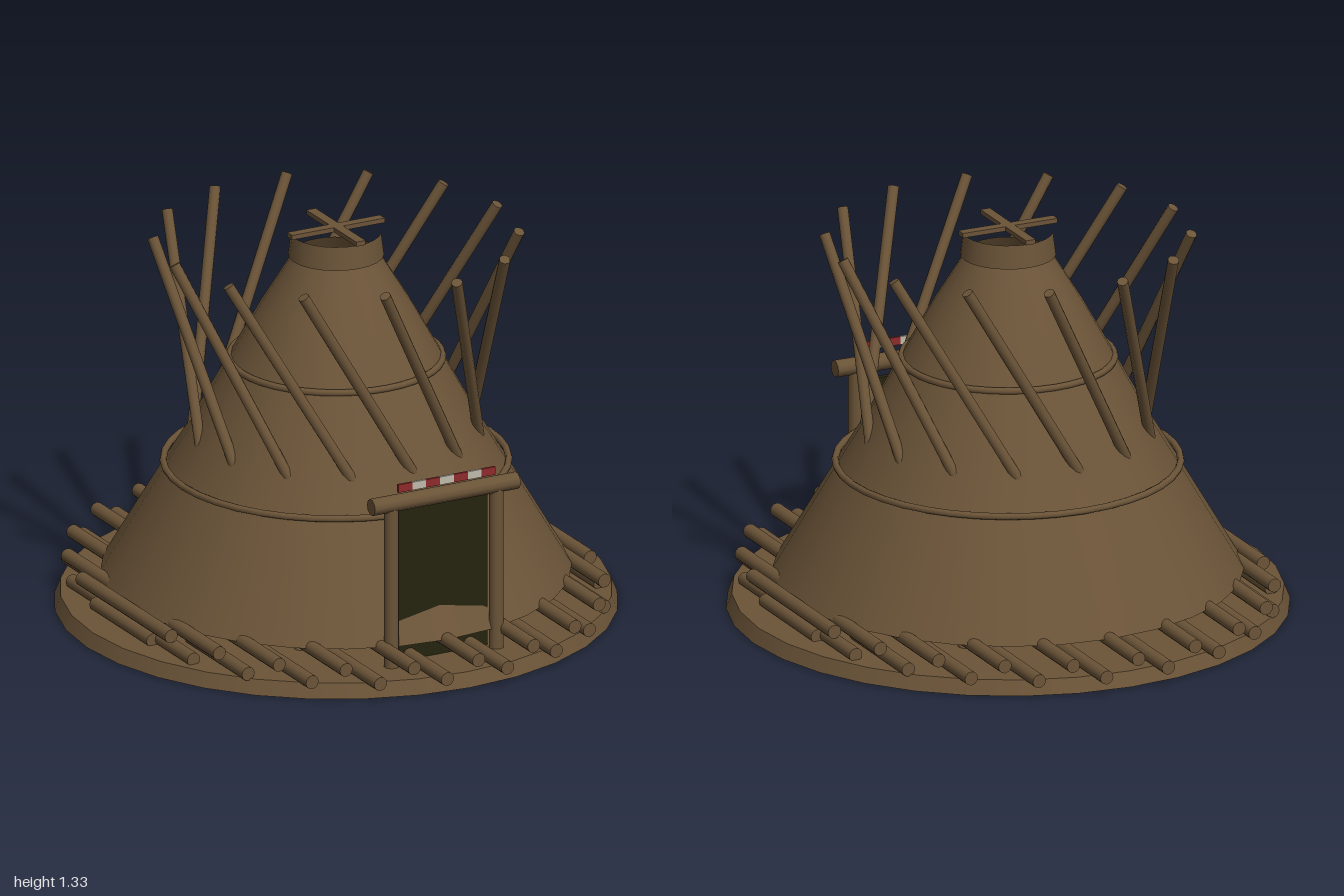
import * as THREE from 'three';

export function createModel() {
  const model = new THREE.Group();
  model.name = 'poleHut';

  const mat = (name, color, side = THREE.FrontSide) =>
    Object.assign(new THREE.MeshStandardMaterial({ color, side }), { name });
  const wood = mat('brownWood', 0x6b5438, THREE.DoubleSide);
  const collarWood = wood.clone();
  collarWood.side = THREE.FrontSide;
  const dark = mat('darkDoorway', 0x25240f);
  const red = mat('redTrim', 0x8e2a2c);
  const white = mat('paleTrim', 0xbfb9ab);

  const add = (name, geometry, material, x = 0, y = 0, z = 0) => {
    const mesh = new THREE.Mesh(geometry, material);
    mesh.name = name;
    mesh.position.set(x, y, z);
    model.add(mesh);
    return mesh;
  };

  // Round pole between two points
  const up = new THREE.Vector3(0, 1, 0);
  const pole = (name, a, b, r) => {
    const dir = b.clone().sub(a);
    const mesh = add(name, new THREE.CylinderGeometry(r, r, dir.length(), 10), wood);
    mesh.position.copy(a).add(b).multiplyScalar(0.5);
    mesh.quaternion.setFromUnitVectors(up, dir.normalize());
  };

  // Ground disc
  add('base', new THREE.CylinderGeometry(0.92, 0.94, 0.05, 32), wood, 0, 0.025, 0);

  // Hide-covered tent wall, open at both ends
  const profile = [
    [0.785, 0.12], [0.575, 0.48], [0.485, 0.63], [0.355, 0.87], [0.25, 1.06], [0.14, 1.24],
  ].map(([r, y]) => new THREE.Vector2(r, y));
  add('tentWall', new THREE.LatheGeometry(profile, 28), wood);

  // Binding ropes
  for (const [r, y] of [[0.575, 0.505], [0.355, 0.87]]) {
    add('bindingRope', new THREE.TorusGeometry(r, 0.012, 8, 40), wood, 0, y, 0)
      .rotation.x = Math.PI / 2;
  }

  // Smoke hole collar and crossed bars
  add('smokeCollar', new THREE.CylinderGeometry(0.15, 0.16, 0.08, 24, 1, true), collarWood, 0, 1.27, 0);
  add('crossBarX', new THREE.BoxGeometry(0.35, 0.016, 0.035), wood, 0, 1.325, 0);
  add('crossBarZ', new THREE.BoxGeometry(0.035, 0.016, 0.35), wood, 0, 1.325, 0);

  // Twisted ring of slanting poles
  const poles = 14, ring = 0.61, twist = 3;
  const onRing = (i, y) => {
    const a = (i / poles) * Math.PI * 2;
    return new THREE.Vector3(Math.cos(a) * ring, y, Math.sin(a) * ring);
  };
  for (let i = 0; i < poles; i++) {
    pole('slantingPole', onRing(i, 1.3), onRing(i - twist, 0.02), 0.019);
  }

  // Ring of logs, all lying front to back at two alternating heights
  const logs = 44;
  const logGeo = new THREE.CylinderGeometry(0.024, 0.024, 0.4, 12).rotateX(Math.PI / 2);
  for (let i = 0; i < logs; i++) {
    const a = (i / logs) * Math.PI * 2;
    add('edgeLog', logGeo, wood, Math.sin(a) * 0.8, i % 2 ? 0.067 : 0.117, Math.cos(a) * 0.8);
  }

  // Doorway: dark panel, posts and lintel
  add('doorPanel', new THREE.BoxGeometry(0.36, 0.59, 0.02), dark, 0, 0.295, 0.715);
  for (const s of [-1, 1]) {
    pole('doorPost', new THREE.Vector3(s * 0.198, 0.04, 0.755),
      new THREE.Vector3(s * 0.198, 0.62, 0.755), 0.025);
  }
  pole('doorLintel', new THREE.Vector3(-0.275, 0.627, 0.755),
    new THREE.Vector3(0.275, 0.627, 0.755), 0.029);

  // Striped strip above the lintel
  const stripe = new THREE.BoxGeometry(0.0525, 0.028, 0.009);
  for (let i = -3; i <= 3; i++) {
    add('doorStripe', stripe, i % 2 ? red : white, i * 0.0525, 0.684, 0.772);
  }

  return model;
}
